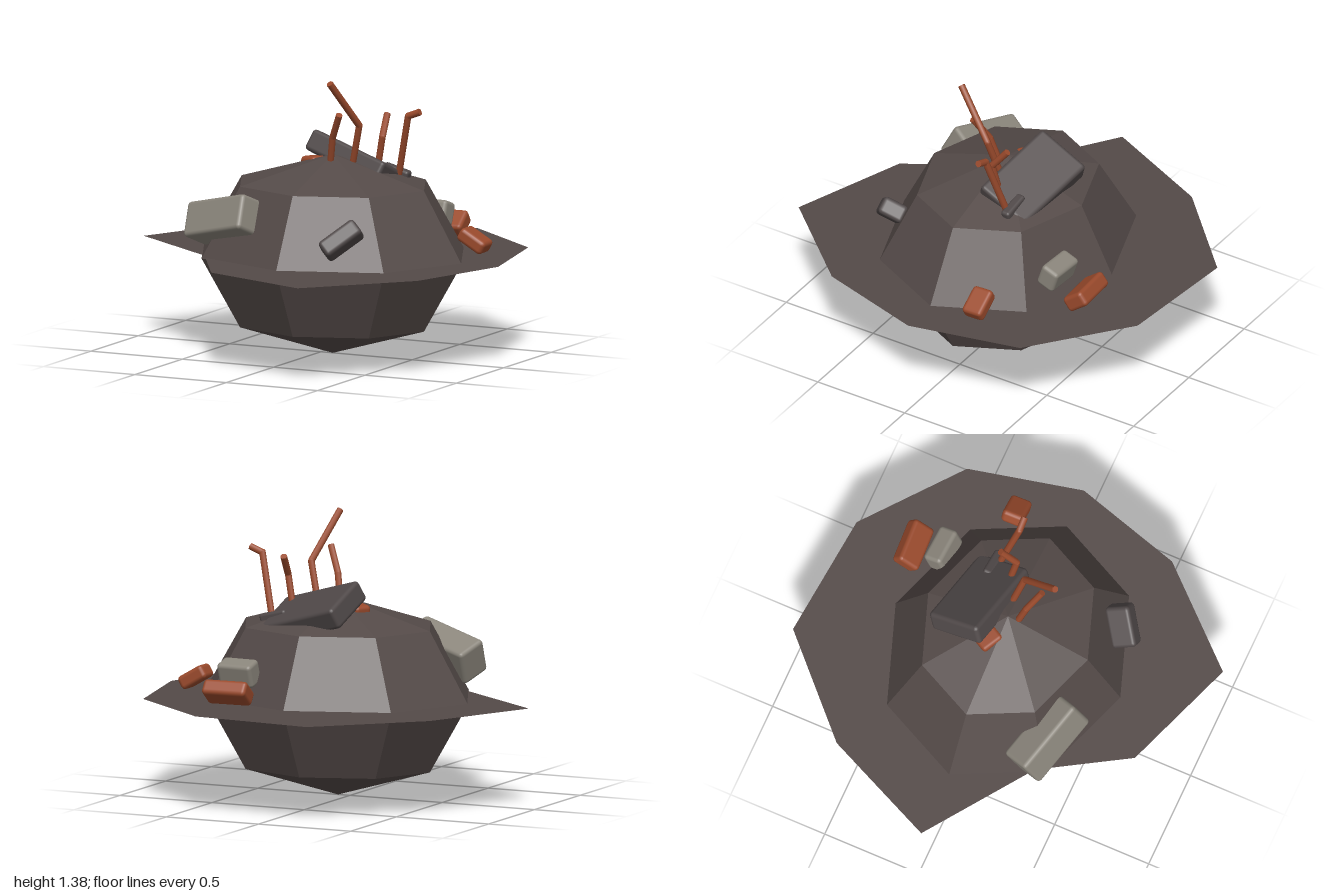
import * as THREE from 'three';
import { RoundedBoxGeometry } from 'three/addons/geometries/RoundedBoxGeometry.js';

const V = (a) => new THREE.Vector3(...a);
const material = (name, color, extra = {}) => {
  const m = new THREE.MeshStandardMaterial({ color, ...extra });
  m.name = name;
  return m;
};

export function createModel() {
  const model = new THREE.Group();
  model.name = 'rubbleMound';

  const earth = material('earth', 0x544a48, { flatShading: true });
  const dirt = material('dirt', 0x544a48, { side: THREE.DoubleSide });
  const stone = material('darkStone', 0x4f4848);
  const concrete = material('concrete', 0x8a857b);
  const rust = material('rust', 0x9a4a2c);

  const add = (name, geometry, mat, parent = model) => {
    const mesh = new THREE.Mesh(geometry, mat);
    mesh.name = name;
    parent.add(mesh);
    return mesh;
  };

  // Faceted squashed mound
  const cx = 0.065;
  const mound = add('mound', new THREE.SphereGeometry(1, 8, 4), earth);
  mound.scale.set(0.705, 0.49, 0.6);
  mound.position.set(cx, 0.495, 0);

  // Ragged flat skirt, one radius per corner, 36 degrees apart
  const radii = [0.905, 0.92, 1.05, 0.83, 0.63, 1.035, 0.96, 1.05, 0.99, 0.96];
  const outline = radii.map((r, i) => {
    const t = (i * Math.PI) / 5;
    return new THREE.Vector2(cx + r * Math.cos(t), -r * Math.sin(t));
  });
  const skirt = new THREE.ShapeGeometry(new THREE.Shape(outline)).rotateX(-Math.PI / 2);
  add('groundSkirt', skirt, dirt).position.y = 0.5;

  // Rounded chunk, turned so its x follows `along` and its y leans to `up`
  const chunk = (name, mat, size, pos, along, up, radius = 0.02) => {
    const x = V(along).normalize();
    const z = x.clone().cross(V(up)).normalize();
    const y = z.clone().cross(x);
    const mesh = add(name, new RoundedBoxGeometry(...size, 2, radius), mat);
    mesh.quaternion.setFromRotationMatrix(new THREE.Matrix4().makeBasis(x, y, z));
    mesh.position.set(...pos);
  };

  // Debris
  chunk('concreteSlab', concrete, [0.39, 0.18, 0.16], [-0.33, 0.69, 0.385], [0.93, 0.22, 0.28], [-0.07, 0.89, -0.45]);
  chunk('frontStone', stone, [0.21, 0.13, 0.09], [0.36, 0.655, 0.48], [0.655, 0.573, -0.49], [0.29, 0.4, 0.86]);
  chunk('topSlab', stone, [0.46, 0.11, 0.29], [0.115, 0.92, -0.17], [0.945, -0.27, 0.18], [0.32, 0.88, -0.36]);
  chunk('smallStone', stone, [0.15, 0.05, 0.05], [0.315, 0.89, -0.19], [1, -0.25, 0.05], [0.2, 1, 0], 0.015);
  chunk('backConcrete', concrete, [0.19, 0.12, 0.1], [0.365, 0.65, -0.478], [1, 0, 0.06], [0, 0.9, -0.3]);
  chunk('backBrick', rust, [0.23, 0.08, 0.125], [0.35, 0.575, -0.63], [1, 0, -0.05], [0, 0.8, 0.6]);
  chunk('sideBrick', rust, [0.15, 0.07, 0.11], [0.715, 0.575, -0.245], [0.85, -0.5, -0.03], [0.5, 0.85, 0]);
  chunk('topBrick', rust, [0.12, 0.08, 0.09], [-0.06, 0.92, -0.045], [0.8, 0.1, 0.45], [0, 1, 0]);

  // Bent rods: base, bend, tip
  const rods = [
    [[0.07, 0.92, 0.04], [0.105, 1.08, 0.08], [0.17, 1.205, 0.135]],
    [[0.155, 0.91, -0.025], [0.22, 1.14, 0.02], [0.157, 1.37, 0.21]],
    [[0.26, 0.88, -0.085], [0.305, 1.08, -0.06], [0.29, 1.18, -0.14]],
    [[0.335, 0.86, -0.17], [0.425, 1.185, -0.1], [0.49, 1.21, -0.1]],
  ];
  const radius = 0.017;
  for (const points of rods) {
    const rod = new THREE.Group();
    rod.name = 'bentRod';
    const p = points.map(V);
    for (let i = 0; i < 2; i++) {
      const dir = p[i + 1].clone().sub(p[i]);
      const bar = add('rodBar', new THREE.CylinderGeometry(radius, radius, dir.length(), 8), rust, rod);
      bar.position.addVectors(p[i], p[i + 1]).multiplyScalar(0.5);
      bar.quaternion.setFromUnitVectors(V([0, 1, 0]), dir.normalize());
    }
    add('rodBend', new THREE.SphereGeometry(radius, 8, 6), rust, rod).position.copy(p[1]);
    model.add(rod);
  }

  return model;
}
